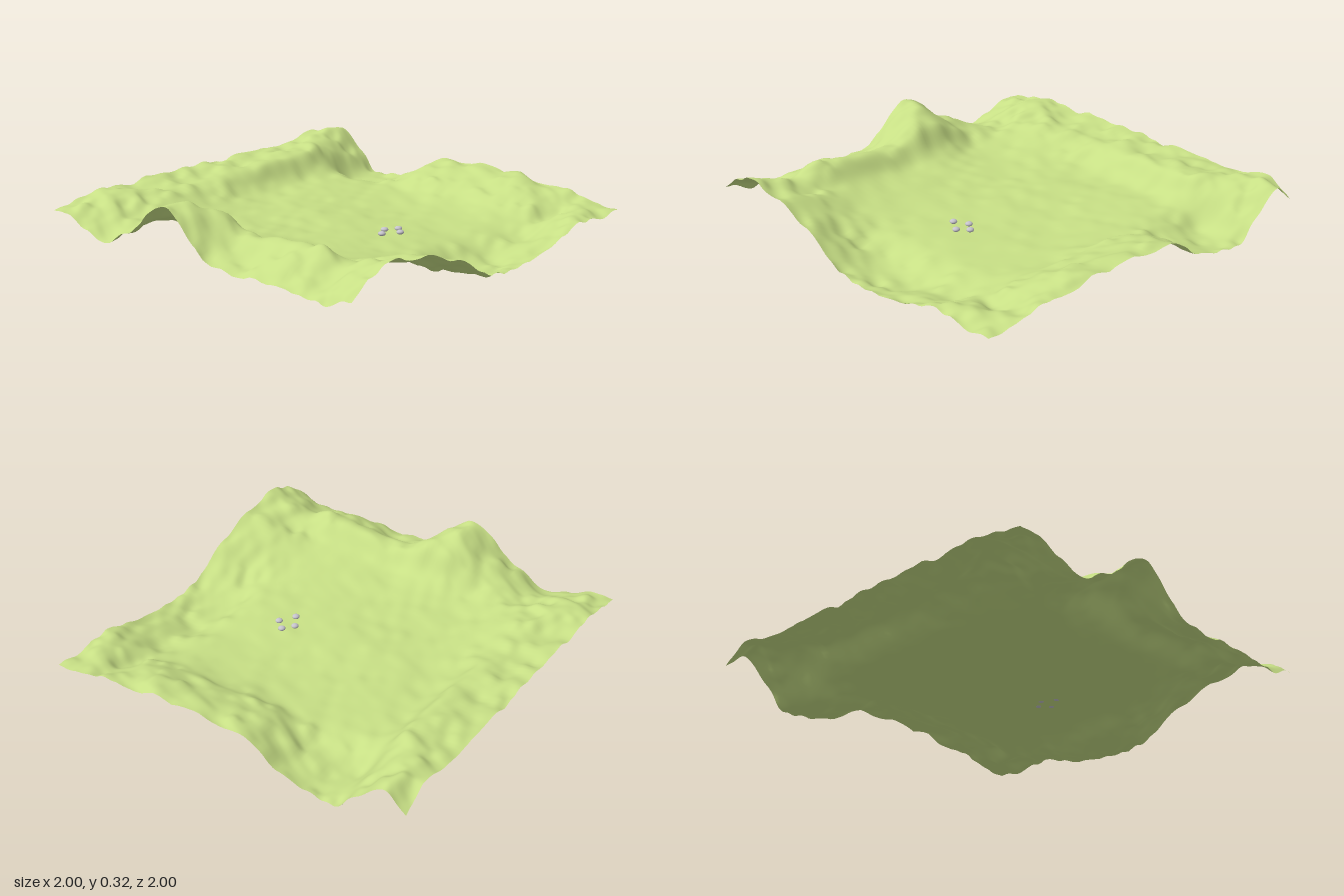
import * as THREE from 'three';

const grass = new THREE.MeshStandardMaterial({ color: 0xc7df85, side: THREE.DoubleSide });
grass.name = 'grass green';
const stone = new THREE.MeshStandardMaterial({ color: 0xc6c4cc });
stone.name = 'stone grey';

// Control lines across (s) and from back to front (t), heights in hundredths
const S = [-1, -0.88, -0.74, -0.6, -0.3, 0, 0.3, 0.6, 0.74, 0.88, 1];
const T = [-1, -0.88, -0.74, -0.6, -0.35, -0.13, 0.15, 0.56, 0.74, 0.87, 1];
const H = [
  [17, 19, 20, 21, 21, 20, 20, 21, 23, 24, 15],
  [16, 19, 20, 20, 19, 20, 20, 22, 22, 24, 23],
  [12, 16, 18, 20, 19, 20, 20, 22, 19, 16, 14],
  [8, 12, 15, 16, 14, 12, 12, 12, 6, 5, 6],
  [22, 21, 19, 13, 11, 11, 11, 11, 9, 8, 9],
  [31, 32, 28, 15, 11, 11, 10, 11, 16, 18, 19],
  [13, 16, 22, 14, 11, 10, 9, 11, 16, 20, 21],
  [15, 20, 25, 17, 11, 9, 8, 10, 15, 19, 19],
  [12, 17, 21, 19, 12, 2, 3, 8, 11, 14, 16],
  [13, 20, 24, 23, 14, 3, 4, 11, 14, 15, 14],
  [16, 24, 27, 25, 18, 6, 6, 13, 15, 14, 13],
];

// Catmull-Rom through evenly indexed values
function spline(a, f) {
  const i = Math.min(Math.floor(f), a.length - 2), k = f - i;
  const p1 = a[i], p2 = a[i + 1];
  const p0 = i > 0 ? a[i - 1] : 2 * p1 - p2;
  const p3 = i + 2 < a.length ? a[i + 2] : 2 * p2 - p1;
  return p1 + 0.5 * k * (p2 - p0 + k * (2 * p0 - 5 * p1 + 4 * p2 - p3 + k * (3 * (p1 - p2) + p3 - p0)));
}

// Smooth value noise, about -1 to 1
function hash(i, j) {
  const n = Math.sin(i * 127.1 + j * 311.7 + 5.3) * 43758.5453;
  return (n - Math.floor(n)) * 2 - 1;
}
function noise(x, y) {
  const i = Math.floor(x), j = Math.floor(y);
  const fx = THREE.MathUtils.smootherstep(x - i, 0, 1), fy = THREE.MathUtils.smootherstep(y - j, 0, 1);
  const lerp = THREE.MathUtils.lerp;
  return lerp(lerp(hash(i, j), hash(i + 1, j), fx), lerp(hash(i, j + 1), hash(i + 1, j + 1), fx), fy);
}

function terrainGeometry() {
  const geo = new THREE.PlaneGeometry(2, 2, 120, 120).rotateX(-Math.PI / 2);
  const pos = geo.attributes.position;
  for (let i = 0; i < pos.count; i++) {
    const u = THREE.MathUtils.clamp((pos.getX(i) + 1) * 5, 0, 10);
    const v = THREE.MathUtils.clamp((pos.getZ(i) + 1) * 5, 0, 10);
    const s = spline(S, u), t = spline(T, v);
    let y = spline(H.map((row) => spline(row, u)), v) / 100;
    // Rough banks round a gently rippled floor
    const rim = THREE.MathUtils.smoothstep(Math.max(Math.abs(s), Math.abs(t)), 0.55, 0.75);
    y += (0.003 + 0.008 * rim) * noise(s * 8 + 20, t * 8 + 20);
    y += (0.004 + 0.009 * rim) * noise(s * 14 + t * 6 + 50, t * 14 - s * 6 + 50);
    pos.setXYZ(i, 0.885 * s + 0.115 * t, Math.max(y, 0), 0.885 * t - 0.115 * s);
  }
  geo.computeVertexNormals();
  return geo;
}

export function createModel() {
  const model = new THREE.Group();
  model.name = 'meadowHollow';

  const terrain = new THREE.Mesh(terrainGeometry(), grass);
  terrain.name = 'terrain';
  model.add(terrain);

  // Four small flattened pebbles lying on the floor
  const pebbles = new THREE.Group();
  pebbles.name = 'pebbles';
  const geo = new THREE.SphereGeometry(0.017, 16, 12).scale(1, 0.6, 1);
  const ray = new THREE.Raycaster();
  for (const [x, z] of [[0.01, 0.285], [0.065, 0.24], [0.12, 0.27], [0.085, 0.32]]) {
    ray.set(new THREE.Vector3(x, 1, z), new THREE.Vector3(0, -1, 0));
    const hit = ray.intersectObject(terrain)[0];
    const pebble = new THREE.Mesh(geo, stone);
    pebble.name = 'pebble';
    pebble.position.set(x, (hit ? hit.point.y : 0.1) + 0.007, z);
    pebbles.add(pebble);
  }
  model.add(pebbles);
  return model;
}
